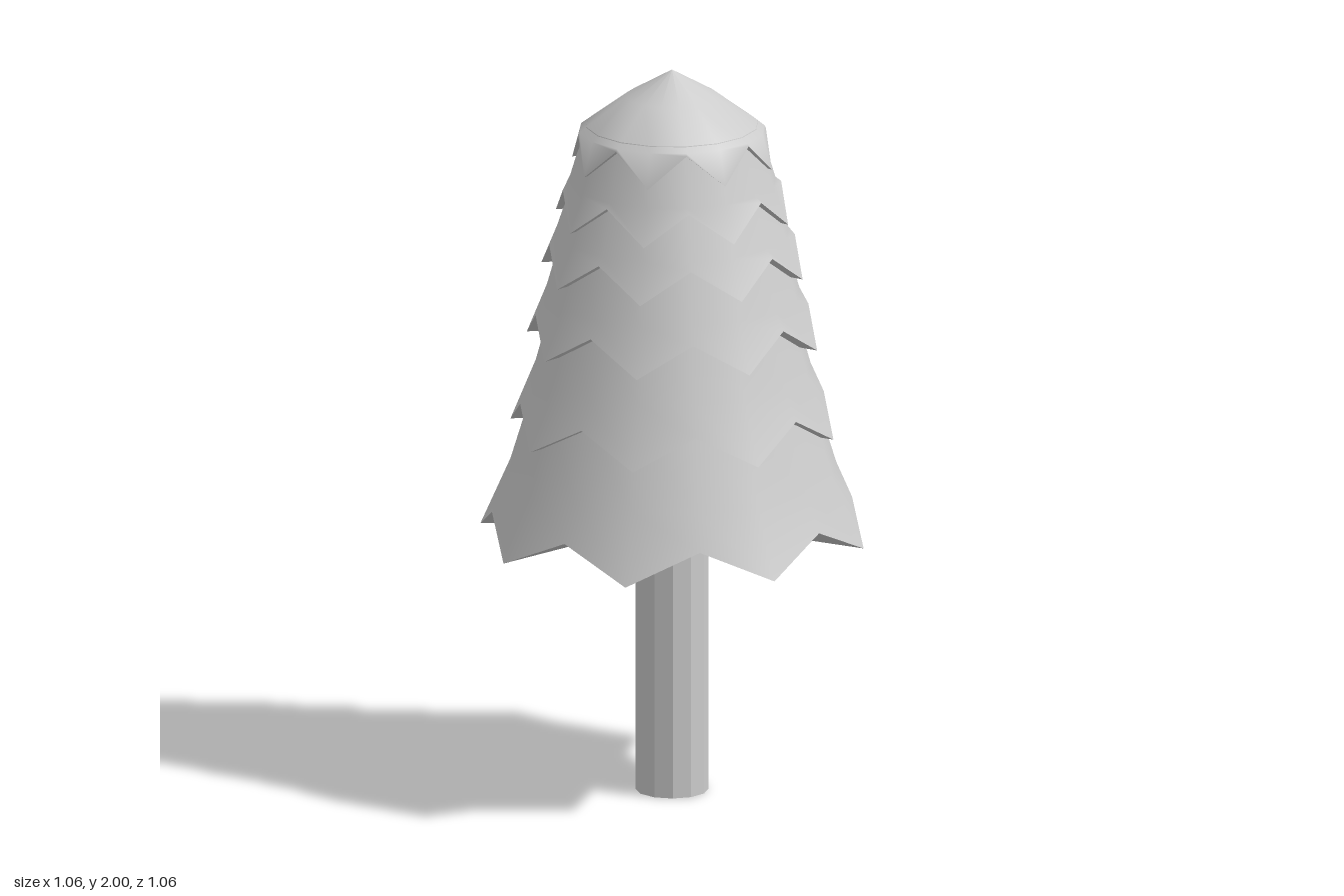
import * as THREE from 'three';

const SIDES = 16; // eight points and eight notches
const NOTCH = Math.cos(Math.PI / 8); // notches lie on the chord between points
const RISE = 0.088; // height of a notch above a point

// One ring of vertices; a jagged ring alternates points and notches.
function ring(r, y, jagged = false) {
  return Array.from({ length: SIDES }, (_, k) => {
    const a = (k / SIDES) * Math.PI * 2;
    const notch = jagged && k % 2 === 1;
    const rr = notch ? r * NOTCH : r;
    return [Math.sin(a) * rr, notch ? y + RISE : y, Math.cos(a) * rr];
  });
}

function geometry(points, index) {
  const g = new THREE.BufferGeometry();
  g.setAttribute('position', new THREE.Float32BufferAttribute(points.flat(), 3));
  g.setIndex(index);
  return g;
}

// Outer surface through rings from bottom to top.
function skin(rings) {
  const index = [];
  for (let i = 0; i < rings.length - 1; i++) {
    for (let k = 0; k < SIDES; k++) {
      const n = (k + 1) % SIDES;
      const a = i * SIDES + k, b = i * SIDES + n;
      const c = a + SIDES, d = b + SIDES;
      index.push(a, b, c, b, d, c);
    }
  }
  const g = geometry(rings.flat(), index);
  g.computeVertexNormals();
  return g;
}

// Faceted underside, a fan from the rim to the middle.
function underside(rim, y) {
  const index = [];
  for (let k = 0; k < SIDES; k++) index.push(SIDES, (k + 1) % SIDES, k);
  const g = geometry([...rim, [0, y, 0]], index).toNonIndexed();
  g.computeVertexNormals();
  return g;
}

export function createModel() {
  const tree = new THREE.Group();
  tree.name = 'tree';
  const smooth = new THREE.MeshStandardMaterial({ color: 0xcccccc });
  const flat = new THREE.MeshStandardMaterial({ color: 0xcccccc, flatShading: true });

  const add = (parent, name, geo, mat) => {
    const mesh = new THREE.Mesh(geo, mat);
    mesh.name = name;
    parent.add(mesh);
    return mesh;
  };

  // Trunk, running up into the lowest tier
  const trunk = add(tree, 'trunk', new THREE.CylinderGeometry(0.098, 0.098, 0.85, 12), flat);
  trunk.position.y = 0.425;

  // Tiers: [point radius, point height, then upper rings as radius, height]
  const tiers = [
    [0.528, 0.703, [[0.445, 0.89], [0.38, 1.1]]],
    [0.445, 1.0, [[0.375, 1.17], [0.325, 1.35]]],
    [0.4, 1.245, [[0.345, 1.38], [0.295, 1.55]]],
    [0.36, 1.44, [[0.315, 1.55], [0.265, 1.7]]],
    [0.32, 1.59, [[0.28, 1.69], [0.232, 1.85]]],
    [0.275, 1.74, [[0.25, 1.835], [0.125, 1.928], [0, 2]]],
  ];
  tiers.forEach(([r, y, upper], i) => {
    const tier = new THREE.Group();
    tier.name = `foliageTier${i + 1}`;
    const rim = ring(r, y, true);
    add(tier, 'foliage', skin([rim, ...upper.map(([ur, uy]) => ring(ur, uy))]), smooth);
    add(tier, 'underside', underside(rim, y + RISE / 2), flat);
    tree.add(tier);
  });

  return tree;
}
